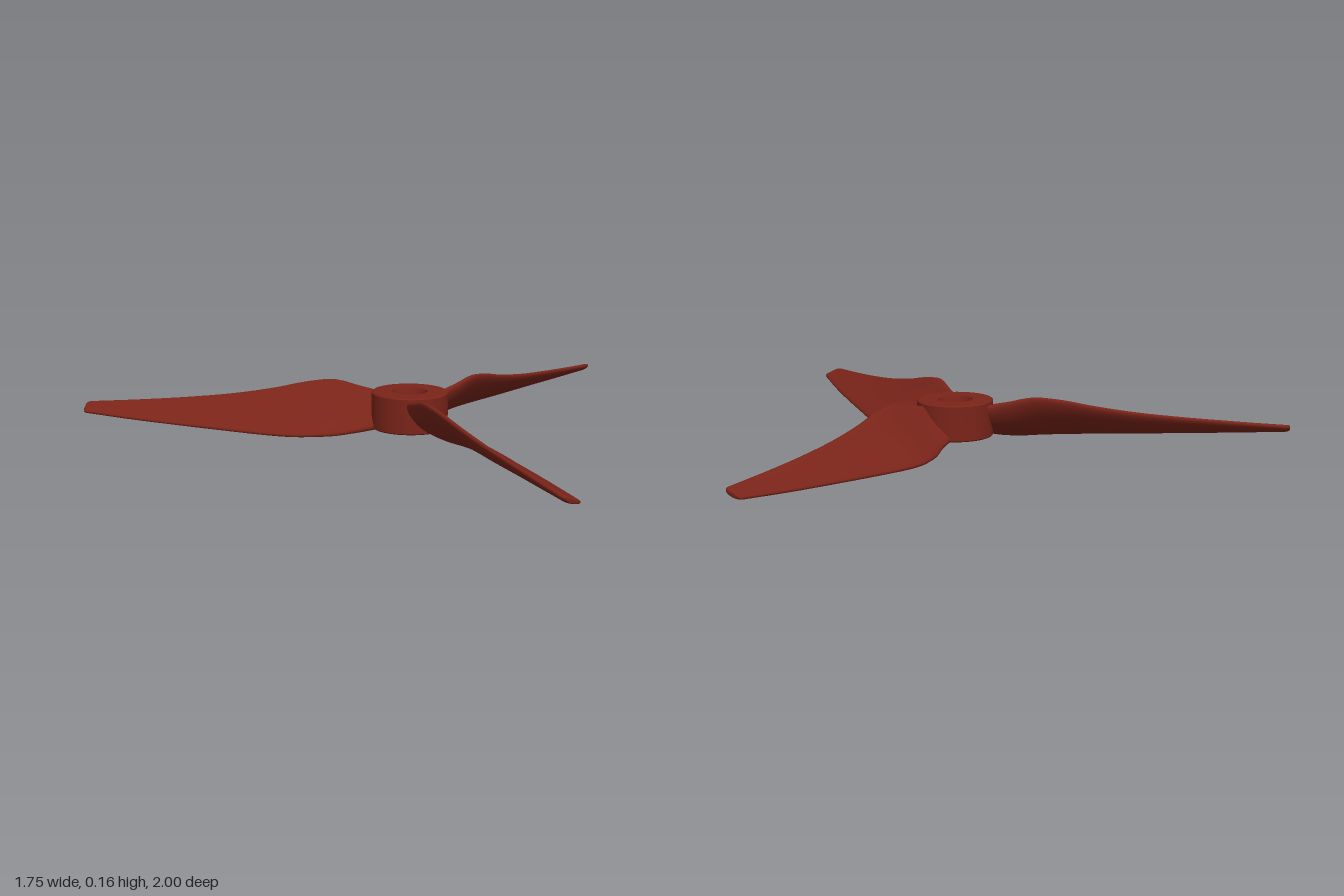
import * as THREE from 'three';
import { toCreasedNormals } from 'three/addons/utils/BufferGeometryUtils.js';

const material = new THREE.MeshStandardMaterial({ color: 0x7a2419 });

// Blade stations: distance from hub axis, high edge z / y, low edge z / y, thickness
const STATIONS = [
  [0.09, -0.055, 0.125, 0.055, 0.03, 0.045],
  [0.14, -0.06, 0.138, 0.06, 0.018, 0.043],
  [0.19, -0.067, 0.148, 0.073, 0.01, 0.04],
  [0.24, -0.073, 0.16, 0.093, 0.005, 0.038],
  [0.29, -0.074, 0.164, 0.11, 0.004, 0.037],
  [0.38, -0.067, 0.152, 0.127, 0.004, 0.036],
  [0.48, -0.058, 0.131, 0.123, 0.007, 0.034],
  [0.62, -0.05, 0.109, 0.103, 0.013, 0.031],
  [0.78, -0.045, 0.092, 0.08, 0.021, 0.028],
  [0.95, -0.044, 0.078, 0.052, 0.03, 0.025],
  [1.12, -0.046, 0.066, 0.02, 0.041, 0.021],
];

// Twisted, cambered blade pointing along -x, lofted through the stations
function bladeGeometry() {
  const curve = (f) => new THREE.CatmullRomCurve3(
    STATIONS.map(f).map((p) => new THREE.Vector3(...p)), false, 'catmullrom');
  const high = curve((s) => [-s[0], s[2], s[1]]);
  const low = curve((s) => [-s[0], s[4], s[3]]);
  const thick = curve((s) => [s[5], 0, 0]);
  const rows = 60, half = 16, ring = half * 2;

  // Each section is [parameter, extra length, scale]; the last ones round off the tip
  const sections = [];
  for (let i = 0; i <= rows; i++) sections.push([i / rows, 0, 1]);
  for (const [dx, k] of [[0.008, 0.97], [0.014, 0.9], [0.019, 0.78], [0.021, 0.6], [0.021, 0]])
    sections.push([1, dx, k]);

  const positions = [], indices = [];
  for (const [t, dx, k] of sections) {
    const a = high.getPoint(t), b = low.getPoint(t), h = thick.getPoint(t).x / 2;
    const mid = a.clone().add(b).multiplyScalar(0.5);
    // Control point sags below the chord, making the upper face concave
    const cz = mid.z + (a.z - mid.z) * 0.35, cy = mid.y + (b.y - mid.y) * 0.35;
    for (let j = 0; j < ring; j++) {
      const angle = (j / half) * Math.PI;
      const u = (1 - Math.cos(angle)) / 2, v = 1 - u;
      const z = v * v * a.z + 2 * u * v * cz + u * u * b.z;
      const y = v * v * a.y + 2 * u * v * cy + u * u * b.y;
      const tz = v * (cz - a.z) + u * (b.z - cz);
      const ty = v * (cy - a.y) + u * (b.y - cy);
      const off = h * Math.sign(Math.sin(angle)) * Math.abs(Math.sin(angle)) ** 0.8 / Math.hypot(tz, ty);
      positions.push(
        a.x - dx,
        mid.y + (y + tz * off - mid.y) * k,
        mid.z + (z - ty * off - mid.z) * k);
    }
  }
  for (let i = 0; i < sections.length - 1; i++) {
    for (let j = 0; j < ring; j++) {
      const p = i * ring + j, q = i * ring + (j + 1) % ring;
      indices.push(p, p + ring, q, p + ring, q + ring, q);
    }
  }
  const geometry = new THREE.BufferGeometry();
  geometry.setAttribute('position', new THREE.Float32BufferAttribute(positions, 3));
  geometry.setIndex(indices);
  geometry.computeVertexNormals();
  return geometry;
}

// Ring hub with a through bore that widens slightly at the top
function hubGeometry() {
  const profile = [
    [0.05, 0.02], [0.126, 0.02], [0.13, 0.024], [0.13, 0.141], [0.126, 0.145],
    [0.06, 0.145], [0.05, 0.115], [0.05, 0.02],
  ].map(([r, y]) => new THREE.Vector2(r, y));
  return toCreasedNormals(new THREE.LatheGeometry(profile, 64), 0.6);
}

export function createModel() {
  const propeller = new THREE.Group();
  propeller.name = 'propeller';
  propeller.position.x = 0.27;

  const hub = new THREE.Mesh(hubGeometry(), material);
  hub.name = 'hub';
  propeller.add(hub);

  const geometry = bladeGeometry();
  for (let i = 0; i < 3; i++) {
    const blade = new THREE.Mesh(geometry, material);
    blade.name = `blade${i + 1}`;
    blade.rotation.y = (i * Math.PI * 2) / 3;
    propeller.add(blade);
  }

  const model = new THREE.Group();
  model.name = 'threeBladePropeller';
  model.add(propeller);
  return model;
}
